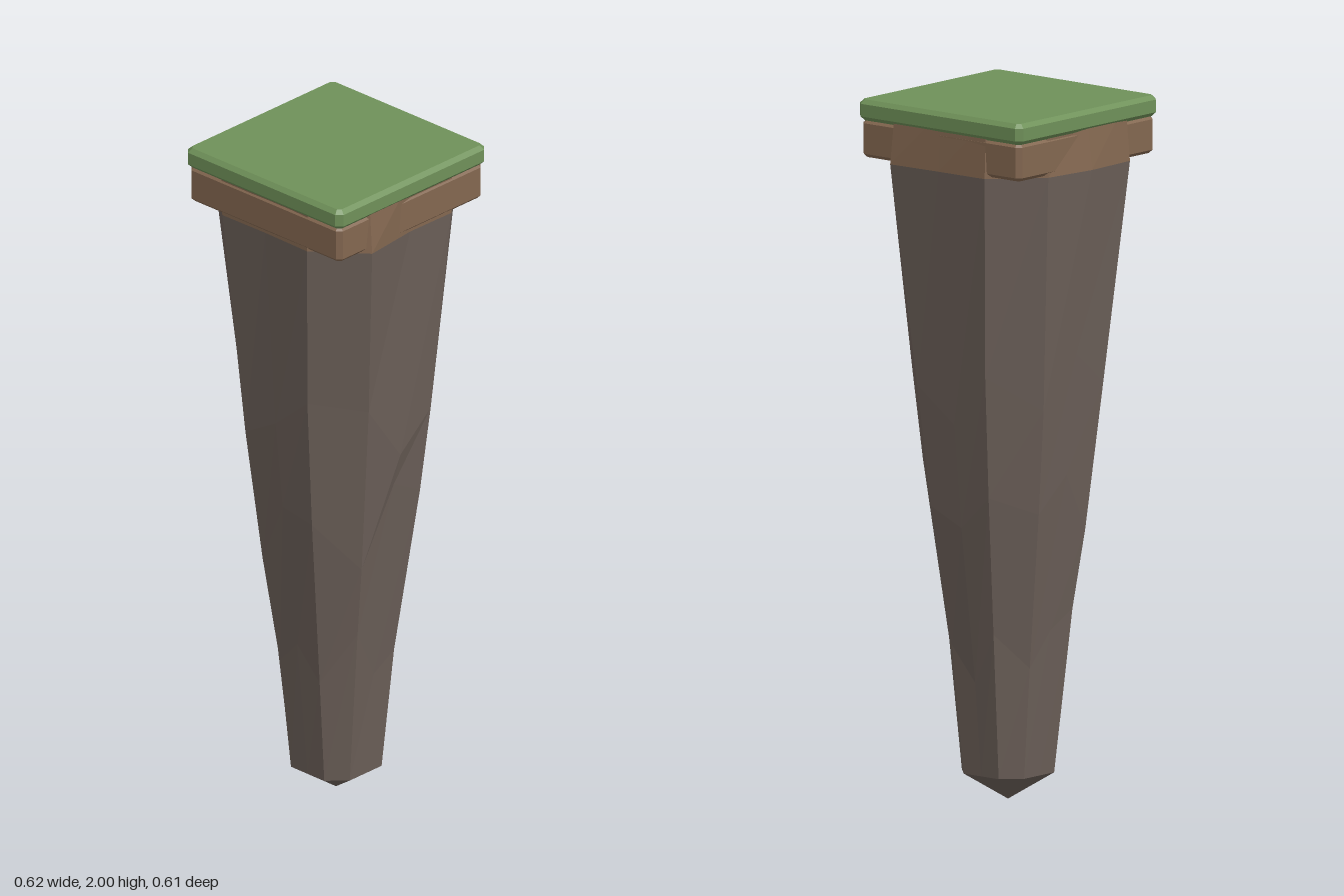
import * as THREE from 'three';

const mat = (color) => new THREE.MeshStandardMaterial({ color, flatShading: true });

// Square slab with chamfered edges and corners
function slab(name, half, y0, y1, bevel, color) {
  const a = half - bevel, c = a - bevel * 0.8;
  const shape = new THREE.Shape([
    [-c, -a], [c, -a], [a, -c], [a, c], [c, a], [-c, a], [-a, c], [-a, -c],
  ].map(([x, y]) => new THREE.Vector2(x, y)));
  const geo = new THREE.ExtrudeGeometry(shape, {
    depth: y1 - y0 - 2 * bevel, bevelEnabled: true, bevelSegments: 1,
    bevelSize: bevel, bevelThickness: bevel,
  });
  geo.rotateX(-Math.PI / 2).translate(0, y0 + bevel, 0);
  const mesh = new THREE.Mesh(geo, mat(color));
  mesh.name = name;
  return mesh;
}

// Taper of the rock: [height, distance of the sides from the axis]
const TAPER = [[0.08, 0.115], [0.45, 0.15], [0.8, 0.2], [1.2, 0.243], [1.83, 0.298]];
function taper(y) {
  let i = 0;
  while (i < TAPER.length - 2 && y > TAPER[i + 1][0]) i++;
  const [y0, r0] = TAPER[i], [y1, r1] = TAPER[i + 1];
  return r0 + (r1 - r0) * (y - y0) / (y1 - y0);
}

// Octagonal ring: left, middle and right point on each side, going +z, +x, -z, -x
function ring(height, radius, ratio) {
  return Array.from({ length: 12 }, (_, i) => {
    const a = Math.floor(i / 3) * Math.PI / 2;
    const y = height(i), r = radius(i, y), t = (i % 3 - 1) * ratio * r;
    return new THREE.Vector3(
      Math.sin(a) * r + Math.cos(a) * t, y, Math.cos(a) * r - Math.sin(a) * t);
  });
}

// Faceted skin over rings from bottom to top, with optional closing points
function loft(name, rings, bottom, top, color) {
  const pos = [];
  const tri = (...pts) => pts.forEach((p) => pos.push(p.x, p.y, p.z));
  for (let i = 0; i < 12; i++) {
    const j = (i + 1) % 12;
    for (let k = 0; k < rings.length - 1; k++) {
      const lo = rings[k], hi = rings[k + 1];
      tri(lo[i], lo[j], hi[j]);
      tri(lo[i], hi[j], hi[i]);
    }
    if (bottom) tri(bottom, rings[0][j], rings[0][i]);
    if (top) tri(top, rings[rings.length - 1][i], rings[rings.length - 1][j]);
  }
  const geo = new THREE.BufferGeometry();
  geo.setAttribute('position', new THREE.Float32BufferAttribute(pos, 3));
  geo.computeVertexNormals();
  const mesh = new THREE.Mesh(geo, mat(color));
  mesh.name = name;
  return mesh;
}

export function createModel() {
  const group = new THREE.Group();
  group.name = 'grassyRockPillar';

  // Uneven heights of the three chiselled bands
  const bands = [
    [0.42, 0.5, 0.4, 0.56, 0.4, 0.45, 0.45, 0.35, 0.5, 0.4, 0.5, 0.55],
    [0.75, 0.95, 0.93, 0.78, 1.02, 0.96, 0.85, 0.8, 0.9, 0.85, 0.95, 0.78],
    [1.15, 1.22, 1.33, 1.3, 1.12, 1.22, 1.2, 1.1, 1.25, 1.15, 1.3, 1.2],
  ];
  // Bulges where the rock meets the soil
  const rim = [0.288, 0.286, 0.29, 0.307, 0.287, 0.289, 0.304, 0.299, 0.298, 0.292, 0.31, 0.302];

  const foot = ring(() => 0.08, () => 0.115, 0.56);
  const middle = bands.map((h, k) => ring(
    (i) => h[i],
    (i, y) => taper(y) + (k === 2 && i === 4 ? 0.015 : 0), 0.52));
  const shoulder = ring(() => 1.83, (i) => rim[i], 0.57);
  const crown = ring(() => 1.996, () => 0.289, 0.58);

  group.add(
    loft('rockSpike', [foot, ...middle, shoulder], new THREE.Vector3(0, 0, 0), null, 0x6c6059),
    loft('soilCore', [shoulder, crown], null, new THREE.Vector3(0, 1.996, 0), 0x836750),
    slab('soilSlab', 0.293, 1.835, 1.942, 0.01, 0x836750),
    slab('grassSlab', 0.301, 1.94, 2, 0.012, 0x6f9159),
  );
  return group;
}
